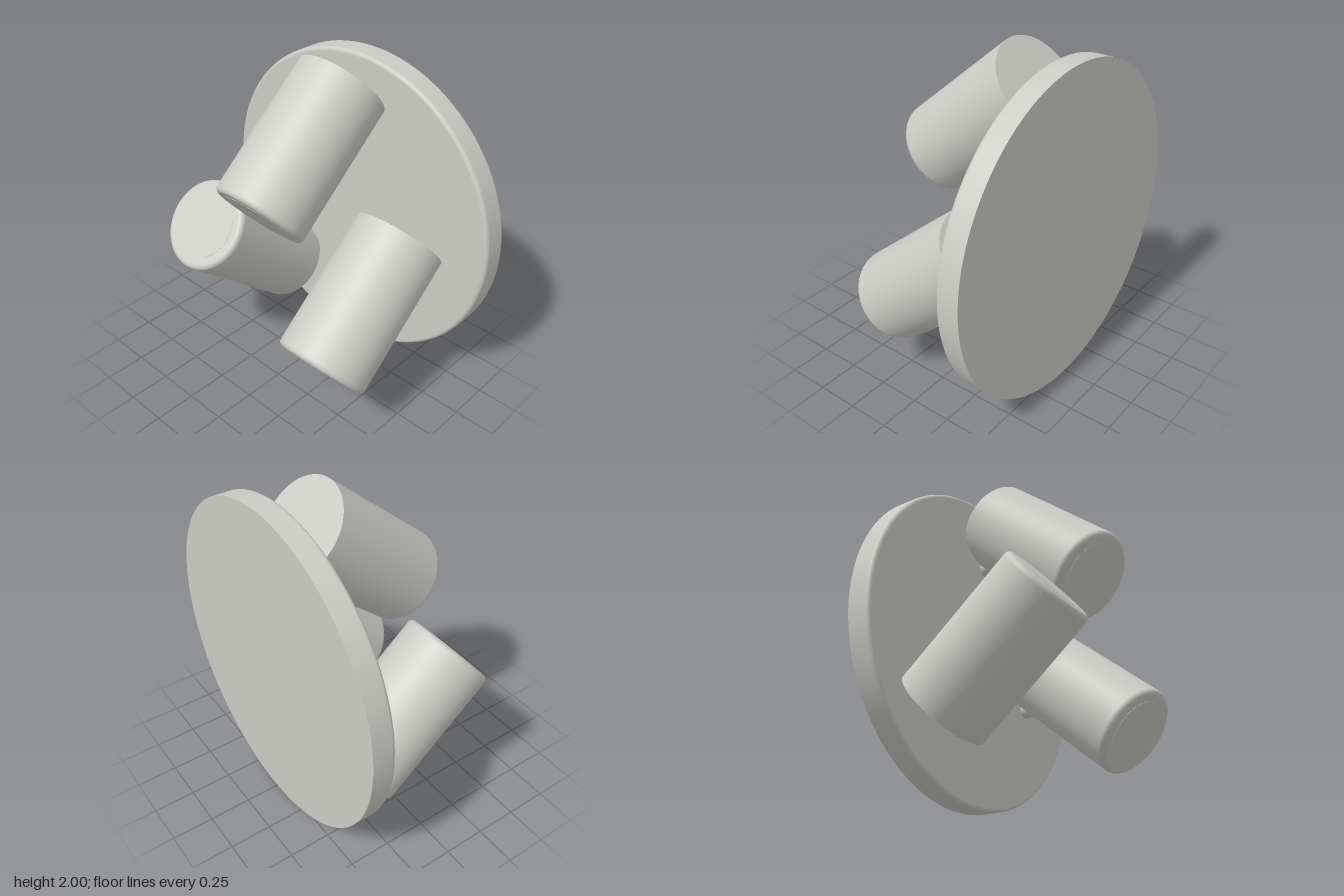
import * as THREE from 'three';

const satin = new THREE.MeshStandardMaterial({ name: 'satinGrey', color: 0xccccc6 });

// Solid cylinder along +y with a sharp base at y = 0 and a rounded rim at the far end.
function roundedCylinder(radius, length, fillet, segments) {
  // Separate lathes keep the base edge crisp and the fillet smooth.
  const side = [new THREE.Vector2(radius, 0), new THREE.Vector2(radius, length - fillet)];
  const rim = [];
  for (let i = 0; i <= 6; i++) {
    const a = (i / 6) * Math.PI / 2;
    rim.push(new THREE.Vector2(radius - fillet + fillet * Math.cos(a), length - fillet + fillet * Math.sin(a)));
  }
  const base = [new THREE.Vector2(0, 0), new THREE.Vector2(radius, 0)];
  const cap = [new THREE.Vector2(radius - fillet, length), new THREE.Vector2(0, length)];
  const group = new THREE.Group();
  Object.entries({ base, side, rim, cap }).forEach(([name, points]) => {
    const mesh = new THREE.Mesh(new THREE.LatheGeometry(points, segments), satin);
    mesh.name = name;
    group.add(mesh);
  });
  return group;
}

// Spotlight head on a short stem; aim is +1 for upward, -1 for downward.
function spotlight(name, x, y, aim) {
  const tilt = THREE.MathUtils.degToRad(40);
  const spot = new THREE.Group();
  spot.name = name;

  const head = roundedCylinder(0.275, 0.865, 0.03, 72);
  head.name = 'lampHead';
  head.position.set(x, y, -0.287);
  head.rotation.x = Math.PI / 2 - aim * tilt;

  // Flush lens in the rounded end
  const lens = new THREE.Mesh(new THREE.CylinderGeometry(0.207, 0.207, 0.004, 64), satin);
  lens.name = 'lens';
  lens.position.y = 0.8645;
  head.add(lens);

  // Stem from the plate into the head
  const stem = new THREE.Mesh(new THREE.CylinderGeometry(0.05, 0.05, 0.22, 32), satin);
  stem.name = 'stem';
  stem.rotation.x = Math.PI / 2;
  stem.position.set(x, y + aim * 0.27, -0.31);

  spot.add(head, stem);
  return spot;
}

export function createModel() {
  const model = new THREE.Group();
  model.name = 'ceilingSpotlight';

  // Round mounting plate
  const plate = roundedCylinder(0.972, 0.14, 0.022, 128);
  plate.name = 'mountingPlate';
  plate.rotation.x = Math.PI / 2;
  plate.position.set(0, 0.977, -0.54);
  model.add(plate);

  model.add(
    spotlight('topSpotlight', 0, 1.79, -1),
    spotlight('leftSpotlight', 0.464, 0.987, -1),
    spotlight('rightSpotlight', -0.464, 0.432, 1)
  );
  return model;
}
